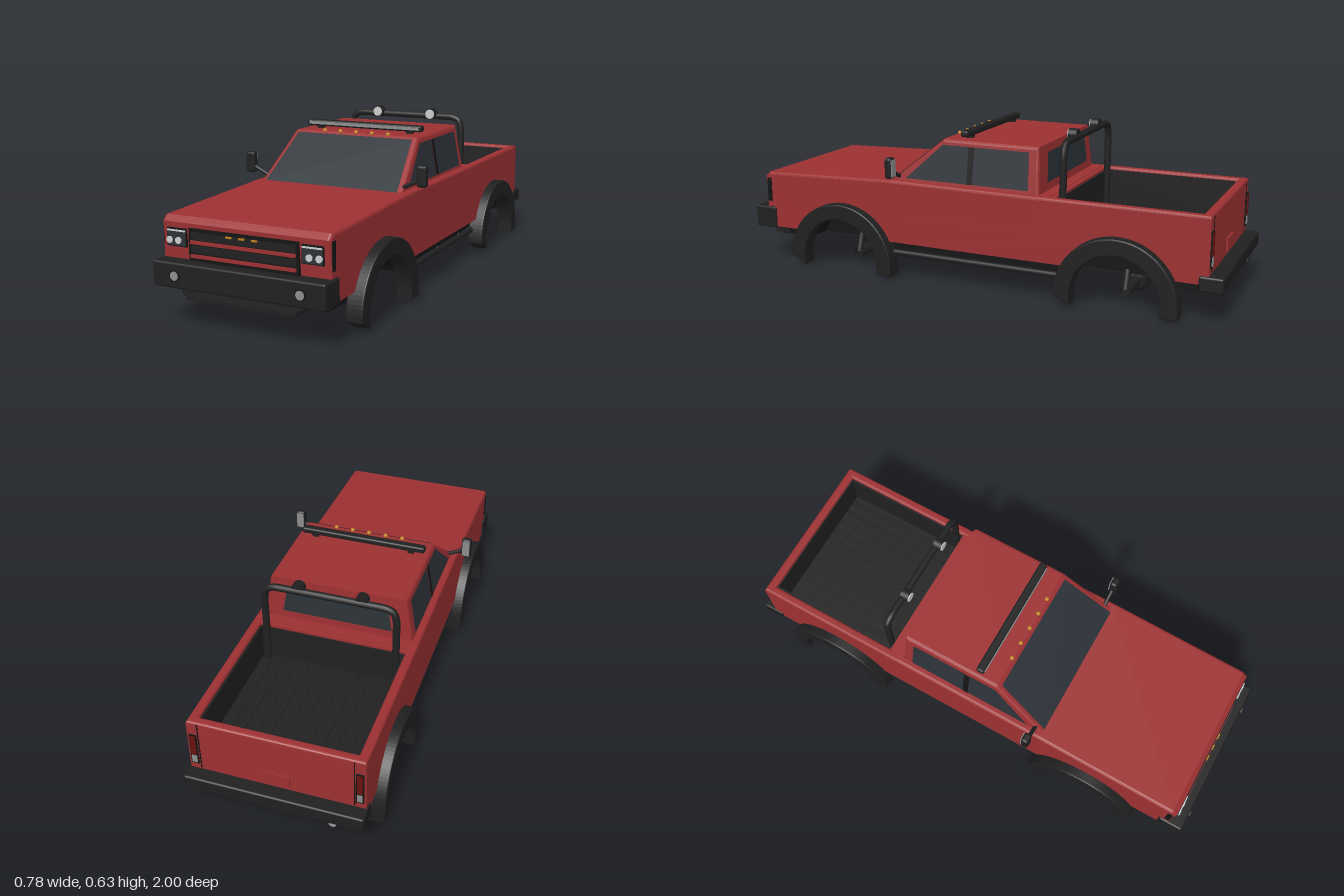
import * as THREE from 'three';
import { RoundedBoxGeometry } from 'three/addons/geometries/RoundedBoxGeometry.js';

const mat = (color) => new THREE.MeshStandardMaterial({ color, side: THREE.DoubleSide });

export function createModel() {
  const truck = new THREE.Group();
  truck.name = 'pickupTruck';
  const red = mat(0x9c3032), black = mat(0x202020), dark = mat(0x141414), glass = mat(0x2c3238);
  const grey = mat(0x8c8c8c), white = mat(0xdddddd), amber = mat(0xc08020), lampRed = mat(0x6a1010);

  const add = (name, geo, material, x = 0, y = 0, z = 0) => {
    const m = new THREE.Mesh(geo, material);
    m.name = name;
    m.position.set(x, y, z);
    truck.add(m);
    return m;
  };
  // Box given by its limits, optionally rounded
  const box = (name, material, x0, x1, y0, y1, z0, z1, r = 0) => {
    const s = [x1 - x0, y1 - y0, z1 - z0];
    const geo = r ? new RoundedBoxGeometry(...s, 3, r) : new THREE.BoxGeometry(...s);
    return add(name, geo, material, (x0 + x1) / 2, (y0 + y1) / 2, (z0 + z1) / 2);
  };
  const shapeOf = (pts) => new THREE.Shape(pts.map((p) => new THREE.Vector2(...p)));
  const extrude = (shape, depth, b) => new THREE.ExtrudeGeometry(shape, {
    depth: depth - 2 * b, bevelEnabled: b > 0, bevelSize: b, bevelThickness: b,
    bevelOffset: -b, bevelSegments: 3, curveSegments: 24,
  });
  // Side outline in (z, y) extruded across x
  const across = (shape, x0, x1, b = 0) =>
    extrude(shape, x1 - x0, b).rotateY(-Math.PI / 2).translate(x1 - b, 0, 0);
  // Rod along a straight or curved path
  const tube = (name, material, pts, r, seg = 1) => {
    const v = pts.map((p) => new THREE.Vector3(...p));
    const path = v.length === 2 ? new THREE.LineCurve3(...v) : new THREE.CatmullRomCurve3(v, false, 'catmullrom', 0.15);
    return add(name, new THREE.TubeGeometry(path, seg, r, 14), material);
  };
  const disc = (name, material, r, depth, x, y, z) =>
    add(name, new THREE.CylinderGeometry(r, r, depth, 24).rotateX(Math.PI / 2), material, x, y, z);
  // Flat panel from its corners
  const panel = (name, material, c) => {
    const g = new THREE.BufferGeometry();
    g.setAttribute('position', new THREE.Float32BufferAttribute(c.flat(), 3));
    g.setIndex([0, 1, 2, 0, 2, 3]);
    g.computeVertexNormals();
    return add(name, g, material);
  };

  const wheelZ = [0.565, -0.61], axleY = 0.05;

  // Lower side outline with round wheel openings
  const lowerSide = (bottom, top, zBack, zFront, r) => {
    const s = new THREE.Shape();
    const dz = Math.sqrt(r * r - (bottom - axleY) ** 2), a = Math.asin((bottom - axleY) / r);
    s.moveTo(zFront, bottom);
    s.lineTo(zFront, top);
    s.lineTo(zBack, top);
    s.lineTo(zBack, bottom);
    for (const z of [...wheelZ].reverse()) {
      s.lineTo(z - dz, bottom);
      s.absarc(z, axleY, r, Math.PI - a, a, true);
    }
    s.closePath();
    return s;
  };

  // Hood and cab base
  add('hoodAndDoors', across(shapeOf([[0.94, 0.22], [0.95, 0.365], [0.93, 0.385], [0.34, 0.405],
    [-0.335, 0.402], [-0.335, 0.245], [0.8, 0.245], [0.82, 0.22]]), -0.328, 0.328, 0.012), red);

  // Open bed: walls, liner and floor
  const ring = (w, z0, z1, t) => {
    const rect = (a, p, q) => [[-a, -q], [a, -q], [a, -p], [-a, -p]];
    const s = shapeOf(rect(w, z0, z1));
    s.holes.push(new THREE.Path(rect(w - t, z0 + t, z1 - t).map((p) => new THREE.Vector2(...p))));
    return s;
  };
  add('bedWalls', extrude(ring(0.328, -0.945, -0.3, 0.036), 0.162, 0.01).rotateX(-Math.PI / 2), red, 0, 0.25, 0);
  box('bedFrontWall', red, -0.31, 0.31, 0.25, 0.4, -0.355, -0.32);
  add('bedLiner', extrude(ring(0.292, -0.912, -0.353, 0.008), 0.15, 0).rotateX(-Math.PI / 2), black, 0, 0.24, 0);
  box('bedFloor', black, -0.295, 0.295, 0.235, 0.25, -0.92, -0.33);
  for (let i = -5; i <= 5; i++) box('bedRib', black, i * 0.05 - 0.012, i * 0.05 + 0.012, 0.245, 0.254, -0.9, -0.36);
  box('tailgateLower', red, -0.328, 0.328, 0.16, 0.28, -0.945, -0.92);
  box('noseLower', red, -0.328, 0.328, 0.16, 0.28, 0.9, 0.94);

  // Underbody
  box('chassis', dark, -0.2, 0.2, 0.115, 0.245, -0.9, 0.9);
  for (const s of [-1, 1]) {
    box('chassisRail', black, s * 0.14 - 0.02, s * 0.14 + 0.02, 0.095, 0.12, -0.88, 0.88);
    tube('sideStep', black, [[s * 0.31, 0.105, 0.36], [s * 0.31, 0.105, -0.41]], 0.012);
    for (const z of [0.22, -0.02, -0.26]) tube('stepBracket', black, [[s * 0.31, 0.105, z], [s * 0.25, 0.13, z]], 0.008);
  }
  tube('driveshaft', dark, [[0.03, 0.06, 0.56], [0.03, 0.1, 0.15], [0.03, 0.1, -0.2], [0.03, 0.06, -0.6]], 0.014, 20);
  box('skidPlate', black, -0.215, 0.215, 0.105, 0.118, 0.86, 0.98);
  tube('exhaust', grey, [[-0.215, 0.105, -0.7], [-0.215, 0.105, -0.98]], 0.015);

  for (const s of [-1, 1]) {
    const span = (a, b) => (s > 0 ? [a, b] : [-b, -a]);
    add('lowerSide', across(lowerSide(0.15, 0.28, -0.945, 0.94, 0.2), ...span(0.292, 0.328)), red);
    add('wheelWell', across(lowerSide(0.115, 0.245, -0.9, 0.9, 0.19), ...span(0.19, 0.3)), dark);
    // Fender flares with short straight legs
    for (const z of wheelZ) {
      const f = new THREE.Shape();
      f.moveTo(z + 0.238, 0.012);
      f.absarc(z, axleY, 0.238, 0, Math.PI, false);
      f.lineTo(z - 0.238, 0.012);
      f.lineTo(z - 0.173, 0.012);
      f.absarc(z, axleY, 0.173, Math.PI, 0, true);
      f.lineTo(z + 0.173, 0.012);
      f.closePath();
      add('fenderFlare', across(f, ...span(0.3, 0.367), 0.006), black);
    }
  }

  // Axles with differentials and links
  for (const z of wheelZ) {
    tube('axle', black, [[-0.225, 0.046, z], [0.225, 0.046, z]], 0.021);
    box('differential', black, -0.015, 0.085, 0, 0.09, z - 0.042, z + 0.042, 0.03);
    for (const s of [-1, 1]) tube('axleLink', black, [[s * 0.215, 0.05, z], [s * 0.19, 0.125, z]], 0.014);
  }

  // Cab, tapering towards the roof
  const half = (y) => 0.302 - (y - 0.4) * 0.17;
  const cabGeo = across(shapeOf([[0.36, 0.39], [0.125, 0.58], [-0.278, 0.58], [-0.29, 0.39]]), -1, 1, 0.012);
  const p = cabGeo.attributes.position;
  for (let i = 0; i < p.count; i++) {
    const x = p.getX(i), edge = 1 - Math.abs(x);
    p.setX(i, Math.sign(x) * (half(p.getY(i)) - edge));
  }
  cabGeo.computeVertexNormals();
  add('cab', cabGeo, red);

  // Windows
  const shield = (x, y) => [x, y, 0.36 - (y - 0.39) * (0.235 / 0.19) + 0.005];
  panel('windshield', glass, [shield(-0.283, 0.403), shield(0.283, 0.403), shield(0.252, 0.572), shield(-0.252, 0.572)]);
  panel('rearWindow', glass, [[0.22, 0.435, -0.292], [-0.22, 0.435, -0.292], [-0.2, 0.55, -0.285], [0.2, 0.55, -0.285]]);
  for (const s of [-1, 1]) {
    const at = (e) => ([z, y]) => [s * (half(y) + e), y, z];
    panel('frontSideWindow', glass, [[0.28, 0.415], [0.01, 0.415], [0.01, 0.558], [0.125, 0.558]].map(at(0.003)));
    panel('rearSideWindow', glass, [[-0.01, 0.415], [-0.245, 0.415], [-0.24, 0.558], [-0.01, 0.558]].map(at(0.003)));
    panel('doorPillar', dark, [[0.012, 0.415], [-0.012, 0.415], [-0.012, 0.558], [0.012, 0.558]].map(at(0.005)));
    // Mirrors
    box('mirror', black, s * 0.37 - 0.02, s * 0.37 + 0.02, 0.425, 0.508, 0.297, 0.327, 0.01);
    box('mirrorGlass', grey, s * 0.37 - 0.015, s * 0.37 + 0.015, 0.433, 0.5, 0.294, 0.298);
    tube('mirrorArm', black, [[s * 0.285, 0.415, 0.312], [s * 0.358, 0.45, 0.312]], 0.008);
  }

  // Grille
  box('grille', dark, -0.215, 0.215, 0.23, 0.35, 0.93, 0.954);
  for (const y of [0.255, 0.303]) box('grilleBar', red, -0.205, 0.205, y - 0.006, y + 0.006, 0.95, 0.96);
  for (const y of [0.279, 0.325]) box('grilleSlat', black, -0.205, 0.205, y - 0.013, y + 0.013, 0.95, 0.956);
  for (const x of [-0.05, 0, 0.05]) box('grilleMarker', amber, x - 0.011, x + 0.011, 0.332, 0.338, 0.95, 0.961);

  // Bumpers
  box('frontBumper', black, -0.337, 0.337, 0.145, 0.236, 0.9, 1, 0.008);
  box('frontValance', black, -0.3, 0.3, 0.118, 0.15, 0.86, 0.93);
  box('rearBumper', black, -0.335, 0.335, 0.125, 0.183, -1, -0.91, 0.008);
  box('rearValance', dark, -0.28, 0.28, 0.105, 0.15, -0.93, -0.86);
  box('hitch', black, -0.03, 0.03, 0.1, 0.13, -0.98, -0.9);

  // Front and rear lamps
  for (const s of [-1, 1]) {
    const x = s * 0.265;
    box('headlampFrame', dark, x - 0.04, x + 0.04, 0.28, 0.345, 0.93, 0.953);
    box('headlampHousing', glass, x - 0.037, x + 0.037, 0.284, 0.333, 0.95, 0.956);
    box('headlampStrip', white, x - 0.037, x + 0.037, 0.334, 0.339, 0.95, 0.958);
    for (const d of [-0.018, 0.018]) disc('headlamp', white, 0.012, 0.012, x + d + s * 0.008, 0.303, 0.955);
    box('frontCornerTrim', dark, s * 0.3285 - 0.002, s * 0.3285 + 0.002, 0.26, 0.36, 0.918, 0.938);
    disc('fogLampRim', dark, 0.021, 0.006, s * 0.245, 0.19, 1);
    disc('fogLamp', grey, 0.016, 0.009, s * 0.245, 0.19, 1);
    const t = s * 0.306;
    box('tailLampFrame', dark, t - 0.014, t + 0.014, 0.21, 0.345, -0.95, -0.94);
    box('tailLamp', lampRed, t - 0.01, t + 0.01, 0.255, 0.34, -0.953, -0.945);
    box('reverseLamp', grey, t - 0.01, t + 0.01, 0.217, 0.248, -0.953, -0.945);
    box('tailgateSeam', dark, s * 0.286 - 0.002, s * 0.286 + 0.002, 0.19, 0.395, -0.947, -0.94);
  }
  box('tailgatePlate', red, -0.05, 0.05, 0.2, 0.25, -0.952, -0.94);

  // Roof light bar and markers
  box('lightBar', black, -0.256, 0.256, 0.589, 0.614, 0.027, 0.06, 0.008);
  box('lightBarLens', grey, -0.245, 0.245, 0.596, 0.608, 0.055, 0.063);
  for (const s of [-1, 1]) box('lightBarFoot', black, s * 0.2 - 0.012, s * 0.2 + 0.012, 0.575, 0.595, 0.03, 0.055);
  for (let i = -2; i <= 2; i++) {
    add('roofMarker', new THREE.SphereGeometry(0.009, 14, 10), amber, i * 0.07, 0.582, 0.12);
  }

  // Roll bar with work lamps
  tube('rollBar', black, [[-0.26, 0.25, -0.37], [-0.26, 0.54, -0.37], [-0.25, 0.585, -0.37], [-0.21, 0.6, -0.37],
    [0.21, 0.6, -0.37], [0.25, 0.585, -0.37], [0.26, 0.54, -0.37], [0.26, 0.25, -0.37]], 0.014, 80);
  for (const s of [-1, 1]) {
    disc('workLamp', black, 0.024, 0.034, s * 0.125, 0.61, -0.36);
    disc('workLampLens', white, 0.02, 0.006, s * 0.125, 0.61, -0.342);
  }
  return truck;
}
